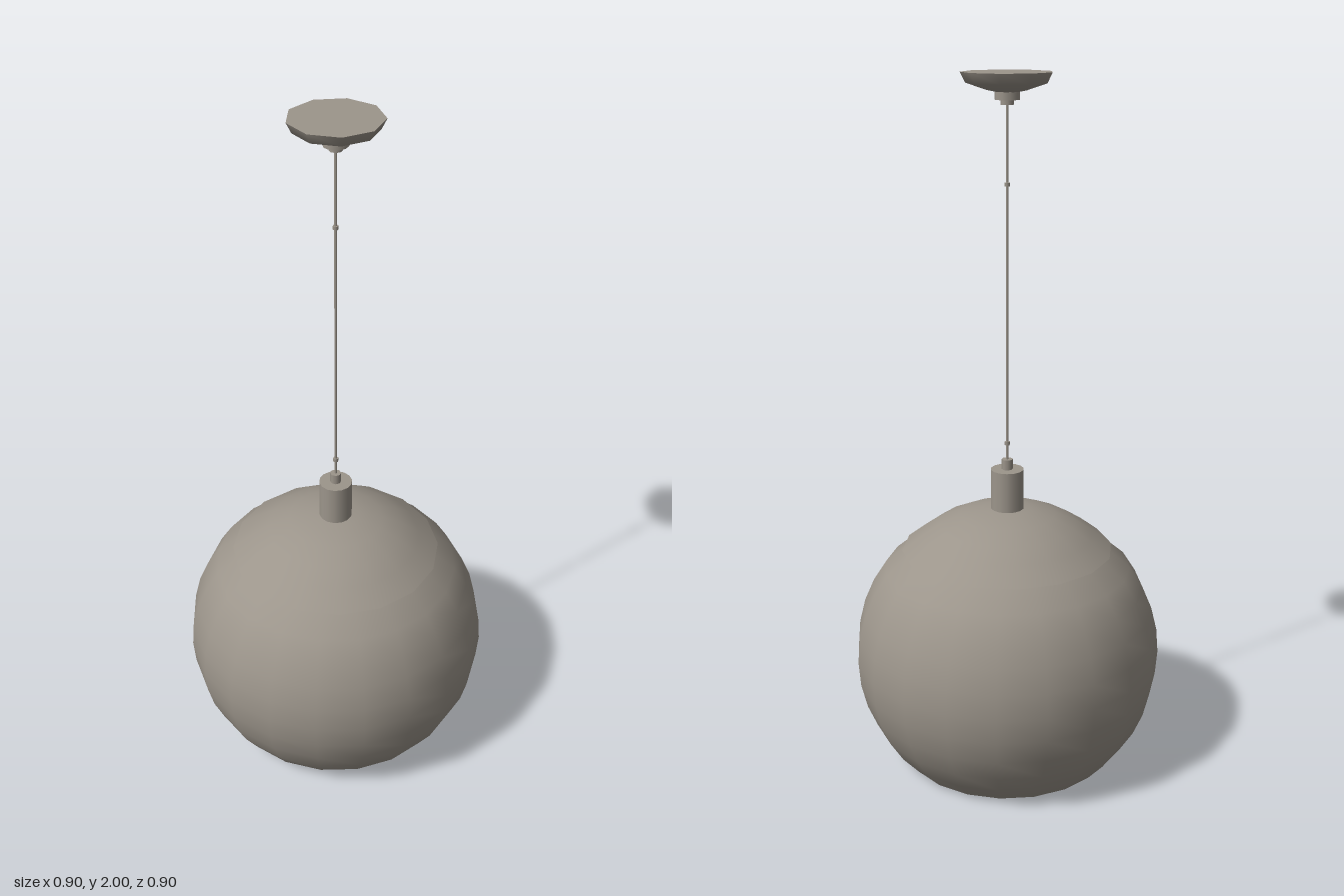
import * as THREE from 'three';

const metal = new THREE.MeshStandardMaterial({ color: 0x9c958b, side: THREE.DoubleSide });
metal.name = 'warm grey';

export function createModel() {
  const lamp = new THREE.Group();
  lamp.name = 'pendantLamp';

  const add = (name, geometry, y = 0) => {
    const mesh = new THREE.Mesh(geometry, metal);
    mesh.name = name;
    mesh.position.y = y;
    lamp.add(mesh);
    return mesh;
  };
  // Surface of revolution from [radius, height] pairs, bottom to top
  const lathe = (name, profile, sides) =>
    add(name, new THREE.LatheGeometry(profile.map(([r, y]) => new THREE.Vector2(r, y)), sides));
  const cylinder = (name, r, y0, y1, sides) =>
    add(name, new THREE.CylinderGeometry(r, r, y1 - y0, sides), (y0 + y1) / 2);

  // Globe shade: a thin sphere zone, open at the bottom
  const R = 0.45, centre = 0.325, globe = [];
  const low = -Math.asin(centre / R), high = Math.asin(0.325 / R);
  for (let i = 0; i <= 10; i++) {
    const a = low + (high - low) * i / 10;
    globe.push([R * Math.cos(a), centre + R * Math.sin(a)]);
  }
  globe[10][0] = 0.295;
  lathe('globeShade', globe, 20);

  // Domed cap with a slight lip over the globe
  lathe('shadeCap', [[0.308, 0.65], [0.25, 0.695], [0.2, 0.728], [0.14, 0.755], [0.07, 0.772], [0, 0.776]], 16);

  // Lamp holder and cable grip
  cylinder('lampHolder', 0.048, 0.765, 0.892, 14);
  cylinder('cableGrip', 0.016, 0.892, 0.922, 8);

  // Cord with small clips
  cylinder('cord', 0.004, 0.92, 1.925, 6);
  cylinder('upperCordClip', 0.008, 1.7, 1.71, 6);
  cylinder('lowerCordClip', 0.008, 0.965, 0.975, 6);

  // Ceiling canopy: curved underside, flat top and cord outlet
  lathe('canopy', [[0.03, 1.948], [0.055, 1.953], [0.112, 1.972], [0.126, 2]], 9);
  const top = new THREE.CircleGeometry(0.126, 9).rotateX(-Math.PI / 2).rotateY(Math.PI / 2);
  top.rotateY(Math.PI);
  // Line the disc corners up with the canopy rim, which starts at +z
  top.rotateY(Math.PI);
  add('canopyTop', top, 2).rotation.y = -Math.PI;
  cylinder('cordOutlet', 0.034, 1.928, 1.955, 10);
  cylinder('cordOutletTip', 0.018, 1.915, 1.928, 8);

  return lamp;
}
